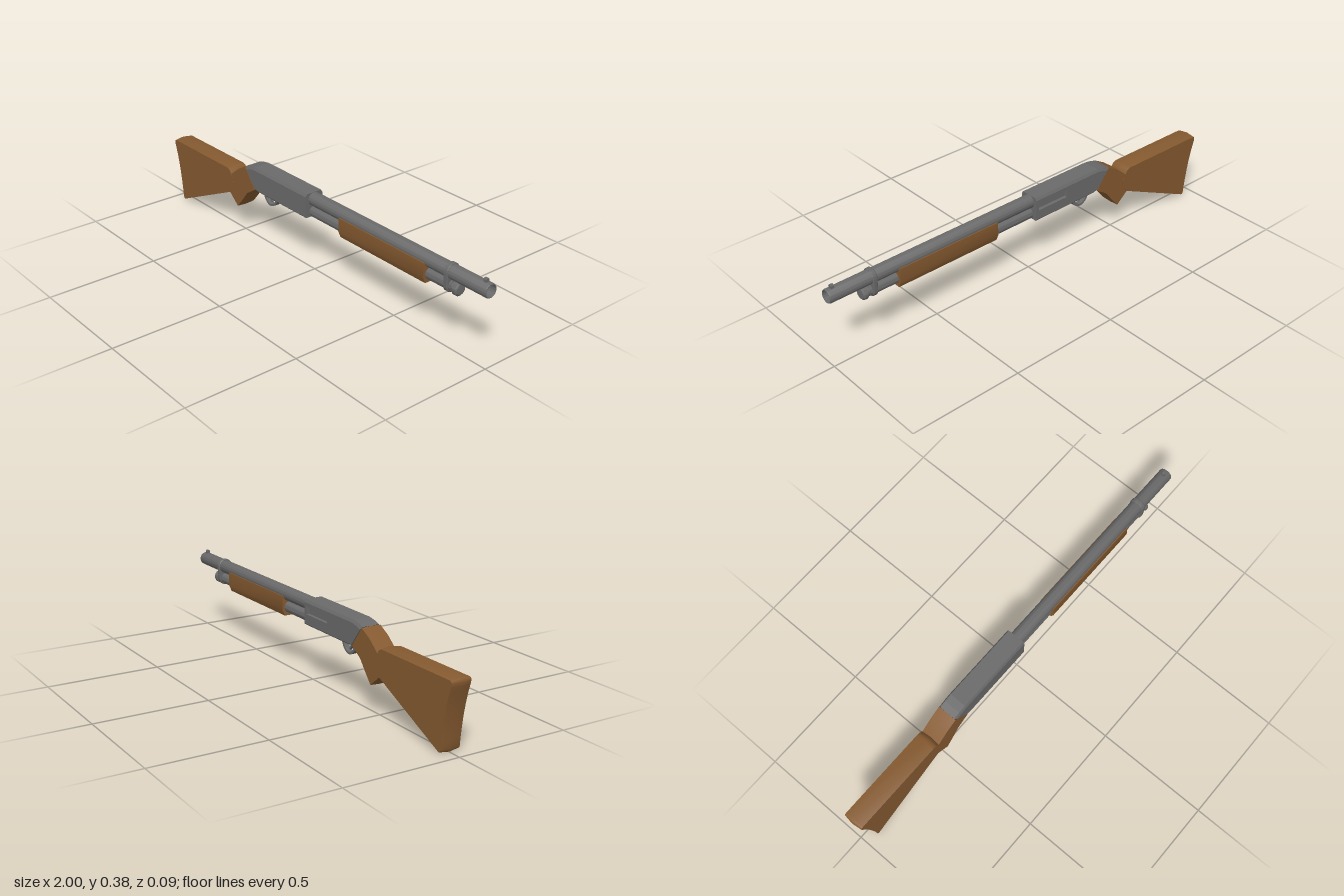
import * as THREE from 'three';
import { toCreasedNormals } from 'three/addons/utils/BufferGeometryUtils.js';

const metal = new THREE.MeshStandardMaterial({ color: 0x6a6a6a });
const wood = new THREE.MeshStandardMaterial({ color: 0x855a30 });

const shapeOf = (pts) => new THREE.Shape(pts.map(([x, y]) => new THREE.Vector2(x, y)));

// Lathe around the x axis; profile is [x, radius]
function turned(profile, y) {
  const g = new THREE.LatheGeometry(profile.map(([x, r]) => new THREE.Vector2(r, x)), 32);
  g.rotateZ(-Math.PI / 2);
  g.translate(0, y, 0);
  return toCreasedNormals(g, 0.6);
}

// Cross-section in z/y, extruded along x
function alongX(shape, x0, x1, bevel = 0) {
  const g = new THREE.ExtrudeGeometry(shape, {
    depth: x1 - x0 - 2 * bevel, bevelEnabled: bevel > 0, bevelSize: bevel,
    bevelThickness: bevel, bevelOffset: -bevel, bevelSegments: 1, curveSegments: 16,
  });
  g.rotateY(Math.PI / 2);
  g.translate(x0 + bevel, 0, 0);
  return toCreasedNormals(g, 0.5);
}

// Side profile whose rim is gently crowned toward the centre line
function crowned(shape, halfWidth, crown) {
  const g = new THREE.ExtrudeGeometry(shape, {
    depth: 0.001, bevelEnabled: true, bevelThickness: halfWidth, bevelSize: crown,
    bevelOffset: -crown, bevelSegments: 1, curveSegments: 8,
  });
  return toCreasedNormals(g, 0.35);
}

// Receiver: rings with chamfered corners, the port points pushed in between two stations
function receiverGeometry() {
  const w = 0.045, inset = -0.03;
  // top x, top y, bottom x, bottom y, port z
  const stations = [
    [-0.43, 0.352, -0.36, 0.262, -w], [-0.4, 0.361, -0.35, 0.26, -w], [-0.365, 0.367, -0.34, 0.258, -w],
    [-0.18, 0.367, -0.18, 0.258, -w], [-0.18, 0.367, -0.18, 0.258, inset],
    [-0.02, 0.367, -0.02, 0.258, inset], [-0.02, 0.367, -0.02, 0.258, -w], [-0.005, 0.367, -0.005, 0.258, -w],
  ];
  const rings = stations.map(([xt, yt, xb, yb, pz]) => [
    [-0.041, yb], [-w, yb + 0.005], [-w, 0.305], [pz, 0.305], [pz, 0.338], [-w, 0.338],
    [-w, yt - 0.012], [-0.038, yt], [0.038, yt], [w, yt - 0.012], [w, yb + 0.005], [0.041, yb],
  ].map(([z, y]) => [xb + (xt - xb) * (y - yb) / (yt - yb), y, z]));
  const pos = [];
  const n = rings[0].length;
  const tri = (...p) => p.forEach((v) => pos.push(...v));
  for (let i = 0; i < rings.length - 1; i++) {
    for (let j = 0; j < n; j++) {
      const k = (j + 1) % n, A = rings[i], B = rings[i + 1];
      tri(A[j], A[k], B[k]);
      tri(A[j], B[k], B[j]);
    }
  }
  const first = rings[0], last = rings[rings.length - 1];
  for (let j = 1; j < n - 1; j++) {
    tri(last[0], last[j], last[j + 1]);
    tri(first[0], first[j + 1], first[j]);
  }
  const g = new THREE.BufferGeometry();
  g.setAttribute('position', new THREE.Float32BufferAttribute(pos, 3));
  g.computeVertexNormals();
  return g;
}

export function createModel() {
  const model = new THREE.Group();
  const add = (name, geometry, material) => {
    const mesh = new THREE.Mesh(geometry, material);
    mesh.name = name;
    model.add(mesh);
  };

  // Shoulder stock with concave butt
  const stock = new THREE.Shape();
  stock.moveTo(-0.985, 0.305);
  stock.lineTo(-0.57, 0.305);
  stock.quadraticCurveTo(-0.545, 0.303, -0.535, 0.28);
  stock.lineTo(-0.51, 0.24);
  stock.lineTo(-0.545, 0.18);
  stock.lineTo(-0.925, 0.007);
  stock.quadraticCurveTo(-0.945, -0.003, -0.95, 0.02);
  stock.quadraticCurveTo(-0.962, 0.17, -0.998, 0.275);
  stock.quadraticCurveTo(-1.005, 0.303, -0.985, 0.305);
  add('stock', crowned(stock, 0.044, 0.006), wood);

  // Grip between stock and receiver
  add('grip', crowned(shapeOf([
    [-0.43, 0.352], [-0.485, 0.322], [-0.54, 0.277], [-0.553, 0.181], [-0.495, 0.132],
    [-0.455, 0.178], [-0.42, 0.222], [-0.36, 0.261],
  ]), 0.0435, 0.002), wood);

  add('receiver', receiverGeometry(), metal);

  // Barrel with open bore
  add('barrel', turned([
    [-0.02, 0], [-0.02, 0.03], [0.995, 0.03], [1, 0.028], [1, 0.025], [0.96, 0.025], [0.96, 0],
  ], 0.337), metal);

  // Magazine tube and its end cap
  add('magazineTube', turned([[-0.02, 0], [-0.02, 0.025], [0.82, 0.025], [0.82, 0]], 0.28), metal);
  add('magazineCap', turned([
    [0.81, 0], [0.81, 0.023], [0.832, 0.023], [0.834, 0.029], [0.848, 0.029], [0.854, 0.022], [0.856, 0],
  ], 0.279), metal);

  // Sliding fore-end
  add('foreEnd', alongX(shapeOf([
    [-0.023, 0.243], [0.023, 0.243], [0.036, 0.273], [0.034, 0.332], [-0.034, 0.332], [-0.036, 0.273],
  ]), 0.195, 0.69), wood);

  // Band clamping barrel and tube
  const band = new THREE.Shape();
  band.absarc(0, 0.338, 0.034, 0, Math.PI, false);
  band.absarc(0, 0.281, 0.031, Math.PI, Math.PI * 2, false);
  band.closePath();
  add('barrelBand', alongX(band, 0.79, 0.811, 0.003), metal);

  // Front sight
  add('frontSight', alongX(shapeOf([
    [-0.008, 0.355], [0.008, 0.355], [0.008, 0.376], [0.005, 0.381], [-0.005, 0.381], [-0.008, 0.376],
  ]), 0.966, 0.981), metal);

  // Trigger guard loop with its top plate
  const loop = (pts) => new THREE.CatmullRomCurve3(
    pts.map(([x, y]) => new THREE.Vector3(x, y, 0))).getPoints(24).map((p) => [p.x, p.y]);
  const guard = shapeOf([
    ...loop([[-0.343, 0.255], [-0.33, 0.22], [-0.298, 0.2], [-0.262, 0.212], [-0.238, 0.25]]),
    [-0.222, 0.254], [-0.222, 0.262], [-0.356, 0.262], [-0.356, 0.256],
  ]);
  guard.holes.push(new THREE.Path(
    loop([[-0.33, 0.254], [-0.321, 0.226], [-0.298, 0.209], [-0.268, 0.219], [-0.25, 0.254]])
      .map(([x, y]) => new THREE.Vector2(x, y))));
  const guardGeo = new THREE.ExtrudeGeometry(guard, { depth: 0.024, bevelEnabled: false });
  guardGeo.translate(0, 0, -0.012);
  add('triggerGuard', toCreasedNormals(guardGeo, 0.5), metal);

  // Curved trigger
  const trigger = new THREE.Shape();
  trigger.moveTo(-0.314, 0.262);
  trigger.quadraticCurveTo(-0.308, 0.235, -0.291, 0.218);
  trigger.lineTo(-0.287, 0.222);
  trigger.quadraticCurveTo(-0.299, 0.238, -0.298, 0.262);
  const triggerGeo = new THREE.ExtrudeGeometry(trigger, { depth: 0.012, bevelEnabled: false });
  triggerGeo.translate(0, 0, -0.006);
  add('trigger', toCreasedNormals(triggerGeo, 0.5), metal);

  return model;
}
